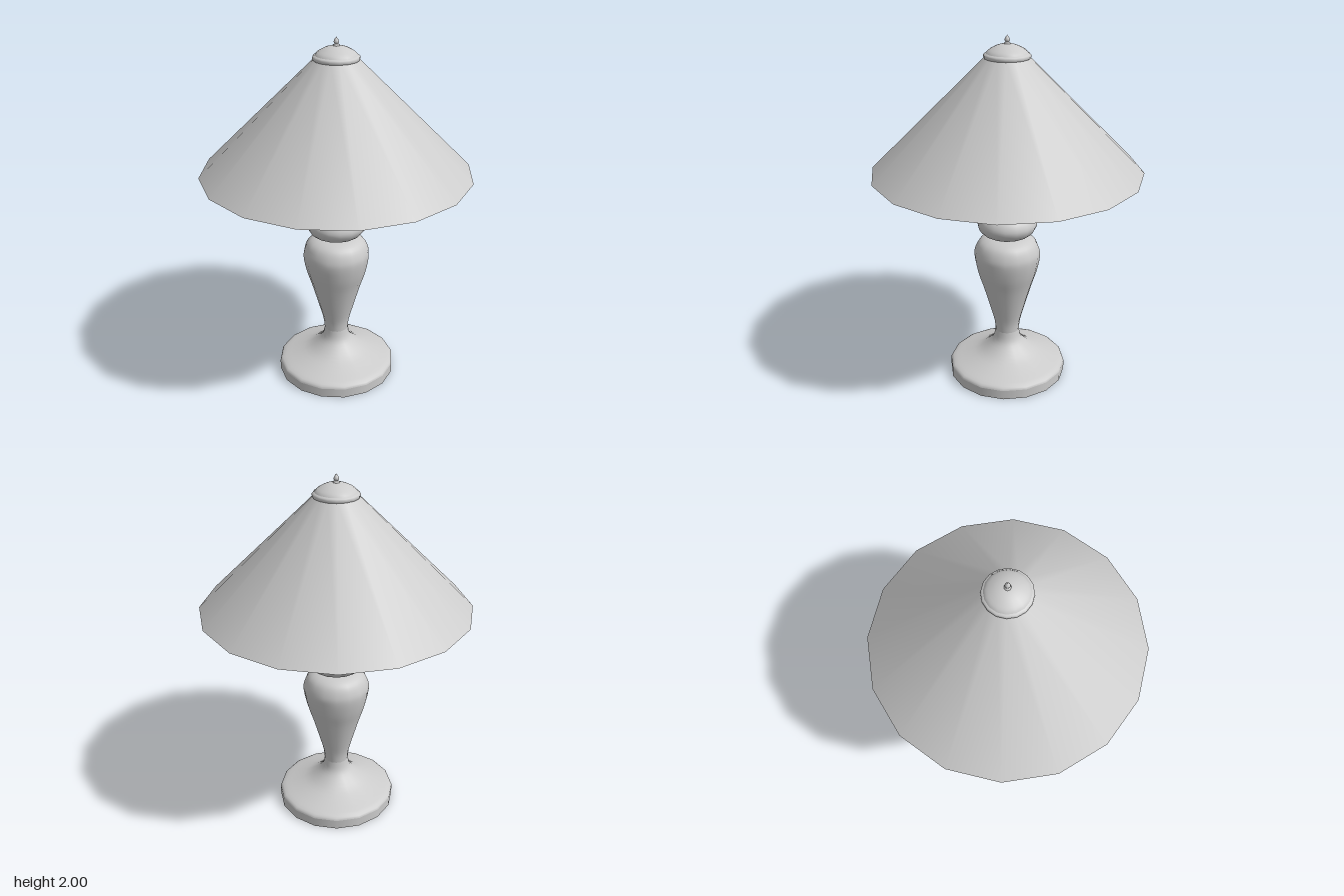
import * as THREE from 'three';

const SIDES = 16;
const material = new THREE.MeshStandardMaterial({ color: 0xcccccc });

const toPoints = (pairs) => pairs.map(([r, y]) => new THREE.Vector2(r, y));

// Turned part; each profile is smooth on its own, with a sharp edge between profiles.
function turned(name, ...profiles) {
  const group = new THREE.Group();
  group.name = name;
  for (const profile of profiles) {
    const mesh = new THREE.Mesh(new THREE.LatheGeometry(profile, SIDES), material);
    mesh.name = name + 'Surface';
    group.add(mesh);
  }
  return group;
}

const straight = (...pairs) => toPoints(pairs);
const curved = (pairs, steps) => new THREE.SplineCurve(toPoints(pairs)).getPoints(steps);

export function createModel() {
  const lamp = new THREE.Group();
  lamp.name = 'tableLamp';

  // Round foot flowing into the vase-shaped body
  lamp.add(turned('base',
    straight([0, 0], [0.34, 0]),
    straight([0.34, 0], [0.34, 0.055]),
    curved([[0.34, 0.055], [0.325, 0.075], [0.25, 0.102], [0.17, 0.135],
      [0.11, 0.18], [0.08, 0.22], [0.069, 0.27]], 18)));
  lamp.add(turned('body',
    curved([[0.069, 0.27], [0.076, 0.33], [0.1, 0.42], [0.14, 0.56], [0.17, 0.655],
      [0.187, 0.74], [0.184, 0.79], [0.16, 0.84], [0.115, 0.867], [0.05, 0.877]], 36)));

  // Stacked bulb and two collars
  lamp.add(turned('bulb',
    curved([[0.05, 0.873], [0.1, 0.88], [0.145, 0.903], [0.168, 0.945],
      [0.158, 0.985], [0.13, 1.012], [0.08, 1.026]], 20)));
  lamp.add(turned('lowerCollar',
    curved([[0.08, 1.02], [0.12, 1.026], [0.136, 1.046], [0.115, 1.064], [0.07, 1.075]], 14)));
  lamp.add(turned('upperCollar',
    curved([[0.07, 1.07], [0.098, 1.078], [0.111, 1.097], [0.1, 1.116], [0.04, 1.122]], 14)));

  // Flared stem with the hub that carries the spokes
  lamp.add(turned('stem',
    straight([0.048, 1.12], [0.062, 1.26], [0.08, 1.41]),
    straight([0.08, 1.41], [0, 1.41])));
  lamp.add(turned('hub',
    straight([0.055, 1.41], [0.055, 1.495]),
    straight([0.055, 1.495], [0, 1.495])));

  // Four spokes holding the shade
  for (let i = 0; i < 4; i++) {
    const spoke = new THREE.Mesh(new THREE.BoxGeometry(0.48, 0.04, 0.05), material);
    spoke.geometry.translate(0.27, 1.47, 0);
    spoke.rotation.y = (i * Math.PI) / 2;
    spoke.name = 'spoke';
    lamp.add(spoke);
  }

  // Faceted conical shade with some thickness
  lamp.add(turned('shade',
    straight([0.745, 1.265], [0.115, 1.89]),
    straight([0.08, 1.89], [0.71, 1.265]),
    straight([0.71, 1.265], [0.745, 1.265])));

  // Cap: bead, shallow dome and finial
  lamp.add(turned('capRing',
    straight([0, 1.878], [0.115, 1.878]),
    curved([[0.115, 1.878], [0.124, 1.885], [0.124, 1.9], [0.113, 1.908]], 8)));
  lamp.add(turned('capDome',
    curved([[0.114, 1.905], [0.1, 1.922], [0.065, 1.942], [0.03, 1.953], [0, 1.956]], 12)));
  lamp.add(turned('finial',
    straight([0.017, 1.945], [0.017, 1.96], [0.009, 1.964]),
    curved([[0.009, 1.964], [0.014, 1.975], [0.009, 1.988], [0, 2]], 9)));

  return lamp;
}
